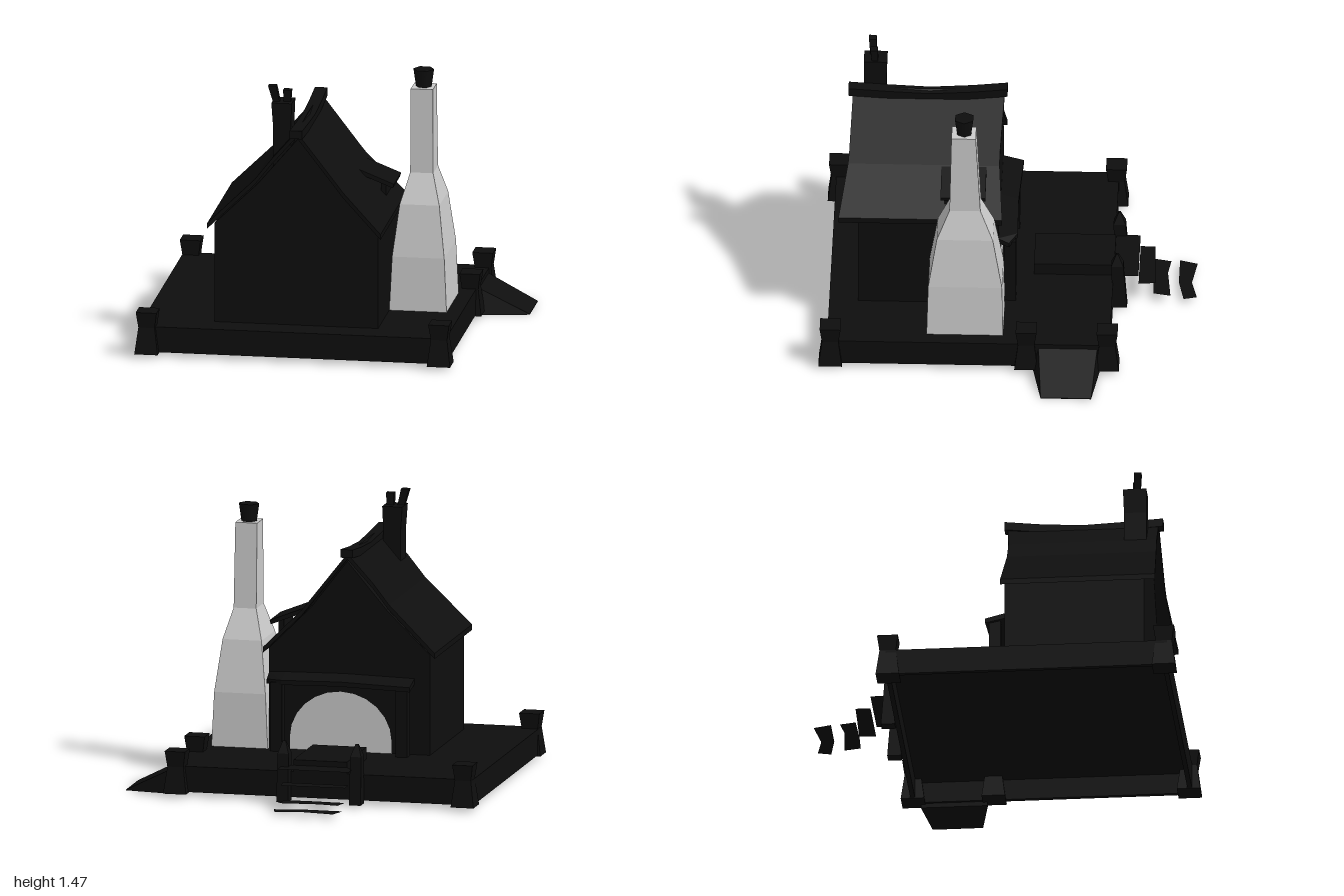
import * as THREE from 'three';

const charcoal = new THREE.MeshStandardMaterial({ color: 0x0e0e0e, side: THREE.DoubleSide });
charcoal.name = 'charcoal';
const paleGrey = new THREE.MeshStandardMaterial({ color: 0xcccccc, side: THREE.DoubleSide });
paleGrey.name = 'paleGrey';

// Skin a list of equal-length closed cross-sections, with flat faces and end caps
function loft(rings) {
  const pos = [];
  const n = rings[0].length;
  const tri = (a, b, c) => pos.push(...a, ...b, ...c);
  for (let i = 0; i < rings.length - 1; i++) {
    for (let j = 0; j < n; j++) {
      const k = (j + 1) % n;
      const [a, b, c, d] = [rings[i][j], rings[i][k], rings[i + 1][k], rings[i + 1][j]];
      tri(a, b, c);
      tri(a, c, d);
    }
  }
  const first = rings[0], last = rings[rings.length - 1];
  for (let j = 1; j < n - 1; j++) {
    tri(first[0], first[j + 1], first[j]);
    tri(last[0], last[j], last[j + 1]);
  }
  // Turn the faces outward when the enclosed volume is negative
  let volume = 0;
  const v = (i) => new THREE.Vector3().fromArray(pos, i);
  for (let i = 0; i < pos.length; i += 9) volume += v(i).dot(v(i + 3).cross(v(i + 6)));
  if (volume < 0) {
    for (let i = 0; i < pos.length; i += 9) {
      for (let k = 0; k < 3; k++) [pos[i + 3 + k], pos[i + 6 + k]] = [pos[i + 6 + k], pos[i + 3 + k]];
    }
  }
  const g = new THREE.BufferGeometry();
  g.setAttribute('position', new THREE.Float32BufferAttribute(pos, 3));
  g.computeVertexNormals();
  return g;
}

// Horizontal rectangle used as a cross-section
const rect = (x0, x1, y, z0, z1) => [[x0, y, z0], [x0, y, z1], [x1, y, z1], [x1, y, z0]];

export function createModel() {
  const model = new THREE.Group();
  const add = (name, geometry, material = charcoal) => {
    const mesh = new THREE.Mesh(geometry, material);
    mesh.name = name;
    model.add(mesh);
    return mesh;
  };
  const box = (name, x0, x1, y0, y1, z0, z1) => {
    const g = new THREE.BoxGeometry(x1 - x0, y1 - y0, z1 - z0);
    g.translate((x0 + x1) / 2, (y0 + y1) / 2, (z0 + z1) / 2);
    return add(name, g);
  };

  // Hollow platform: floor and four skirts
  box('platformFloor', -0.96, 0.7, 0.14, 0.165, -0.555, 0.955);
  box('platformSkirt', -0.96, -0.935, 0.025, 0.14, -0.555, 0.955);
  box('platformSkirt', 0.675, 0.7, 0.025, 0.14, -0.555, 0.955);
  box('platformSkirt', -0.935, 0.675, 0.025, 0.14, -0.555, -0.53);
  box('platformSkirt', -0.935, 0.675, 0.025, 0.14, 0.93, 0.955);

  // Waisted corner posts, plus one beside the ramp
  for (const [x, z] of [[-0.914, 0.937], [0.668, 0.937], [-0.914, -0.543], [0.668, -0.543], [0.668, -0.11]]) {
    add('platformPost', loft([[0.02, 0.063], [0.165, 0.044], [0.25, 0.056]]
      .map(([y, h]) => rect(x - h, x + h, y, z - h, z + h))));
  }

  // Side ramp
  add('ramp', loft([
    [[0.69, 0, -0.505], [0.69, 0.145, -0.49], [0.69, 0.145, -0.175], [0.69, 0, -0.145]],
    [[0.97, 0, -0.465], [0.97, 0.004, -0.465], [0.97, 0.004, -0.195], [0.97, 0, -0.195]],
  ]));

  // Raised walkway with pointed gate posts
  box('walkway', -0.27, 0.025, 0.16, 0.23, -0.56, -0.13);
  for (const x of [-0.33, 0.07]) {
    add('gatePost', loft([
      rect(x - 0.032, x + 0.032, 0.01, -0.63, -0.555),
      rect(x - 0.03, x + 0.03, 0.27, -0.61, -0.545),
      rect(x - 0.008, x + 0.008, 0.335, -0.582, -0.572),
    ]));
  }

  // Paper-thin crooked stair treads
  const treads = [
    [0.2, [-0.31, -0.69], [-0.12, -0.69], [0.08, -0.69], [0.08, -0.56], [-0.12, -0.56], [-0.31, -0.56]],
    [0.13, [-0.31, -0.77], [-0.12, -0.775], [0.04, -0.78], [0.05, -0.69], [-0.12, -0.69], [-0.31, -0.69]],
    [0.05, [-0.29, -0.855], [-0.18, -0.84], [0.04, -0.86], [0.02, -0.77], [-0.12, -0.765], [-0.31, -0.77]],
    [0.03, [-0.3, -0.995], [-0.12, -0.97], [0.02, -1], [0.04, -0.93], [-0.12, -0.9], [-0.33, -0.9]],
  ];
  for (const [y, ...outline] of treads) {
    const g = new THREE.ShapeGeometry(new THREE.Shape(outline.map(([x, z]) => new THREE.Vector2(x, -z))));
    g.rotateX(-Math.PI / 2).translate(0, y, 0);
    add('stairTread', g);
  }

  // House walls with gables
  const wall = new THREE.Shape([[-0.575, 0.16], [0.31, 0.16], [0.31, 0.71], [0.08, 0.94], [-0.12, 1.2],
    [-0.34, 0.94], [-0.575, 0.71]].map(([x, y]) => new THREE.Vector2(x, y)));
  add('houseWalls', new THREE.ExtrudeGeometry(wall, { depth: 0.75, bevelEnabled: false }).translate(0, 0, 0.05));

  // Flared roof: x, y, back z, front z
  const roof = [
    [-0.605, 0.725, 0.03, 0.86], [-0.35, 0.975, 0.045, 0.845], [-0.26, 1.09, 0.045, 0.84],
    [-0.125, 1.245, 0.03, 0.84], [0.09, 0.975, 0.05, 0.855], [0.13, 0.925, 0.05, 0.86], [0.34, 0.715, 0.03, 0.905],
  ];
  add('roof', loft(roof.map(([x, y, z0, z1]) =>
    [[x, y, z0], [x, y, z1], [x, y - 0.03, z1], [x, y - 0.03, z0]])));

  // Sagging ridge beam
  add('ridgeBeam', loft([[0.015, 1.27], [0.2, 1.25], [0.43, 1.235], [0.65, 1.245], [0.865, 1.258]].map(([z, y]) =>
    [[-0.158, y - 0.045, z], [-0.158, y, z], [-0.09, y, z], [-0.09, y - 0.045, z]])));

  // Dormer
  add('dormerRoof', loft([[0.11, 0.93], [0.325, 0.845]].map(([x, y]) =>
    [[x, y, 0.12], [x, y, 0.36], [x - 0.006, y - 0.022, 0.36], [x - 0.006, y - 0.022, 0.12]])));
  box('dormerFront', 0.252, 0.28, 0.74, 0.85, 0.14, 0.34);

  // Chimney with two crooked pots
  add('chimney', loft([
    rect(-0.26, -0.16, 1.0, 0.665, 0.785),
    rect(-0.26, -0.165, 1.25, 0.665, 0.785),
    rect(-0.27, -0.16, 1.385, 0.66, 0.785),
  ]));
  const pot = (x0, z0, x1, y1, z1) => add('chimneyPot', loft([
    rect(x0 - 0.018, x0 + 0.018, 1.37, z0 - 0.016, z0 + 0.016),
    rect(x1 - 0.022, x1 + 0.022, y1, z1 - 0.02, z1 + 0.02),
  ]));
  pot(-0.245, 0.735, -0.27, 1.472, 0.74);
  pot(-0.192, 0.725, -0.19, 1.45, 0.73);

  // Porch roof and posts
  add('porchRoof', loft([[-0.49, -0.06, 0.55], [-0.1, -0.045, 0.56], [0.22, -0.05, 0.555], [0.31, -0.005, 0.55]]
    .map(([x, z, y]) => [[x, y, z], [x, y + 0.03, 0.055], [x, y, 0.055], [x, y - 0.025, z]])));
  for (const x of [-0.44, 0.25]) box('porchPost', x - 0.032, x + 0.032, 0.16, 0.54, -0.042, 0.022);

  // Pale arched doorway on the back wall
  const arch = new THREE.Shape();
  arch.moveTo(-0.28, 0.165);
  arch.lineTo(0.28, 0.165);
  arch.lineTo(0.28, 0.23);
  arch.absellipse(0, 0.23, 0.28, 0.26, 0, Math.PI);
  arch.closePath();
  add('archedDoorway', new THREE.ShapeGeometry(arch, 6).rotateY(Math.PI).translate(-0.085, 0, 0.044), paleGrey);

  // Square tapered bottle tower: x range, y, z range
  const bottle = [
    [0.31, 0.62, 0.163, 0.017, 0.425], [0.324, 0.606, 0.46, 0.022, 0.417], [0.358, 0.572, 0.74, 0.072, 0.372],
    [0.404, 0.528, 0.9, 0.14, 0.305], [0.405, 0.525, 1.36, 0.165, 0.295],
  ];
  add('bottleTower', loft(bottle.map((b) => rect(...b))), paleGrey);
  const cork = add('bottleStopper', new THREE.CylinderGeometry(0.056, 0.042, 0.097, 6));
  cork.rotation.y = Math.PI / 6 + Math.PI / 3;
  cork.position.set(0.465, 1.407, 0.228);

  return model;
}
